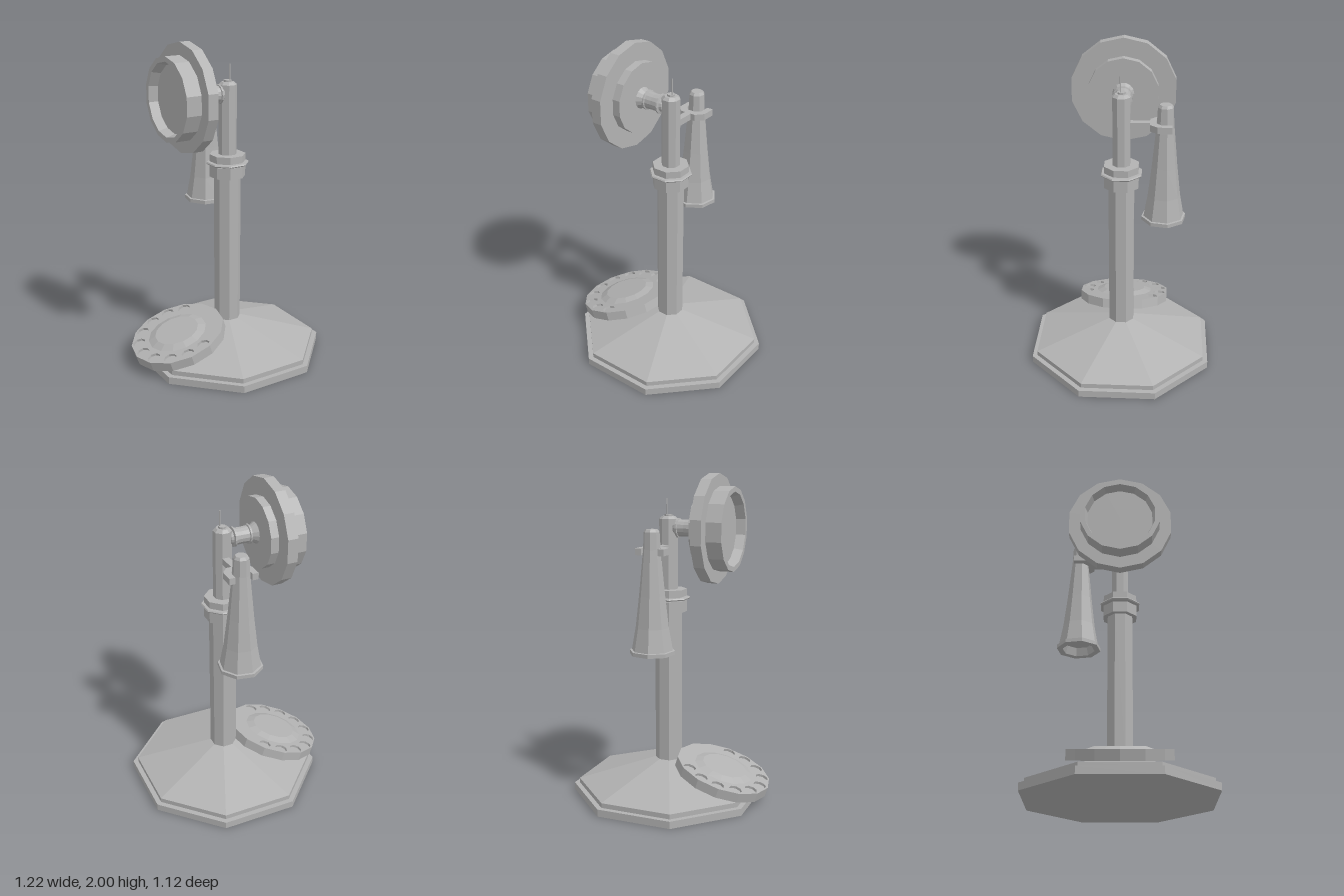
import * as THREE from 'three';

const AXIS_X = 0.043; // the post stands slightly off centre

export function createModel() {
  const metal = new THREE.MeshStandardMaterial({ color: 0xb2b2b2, flatShading: true });
  metal.name = 'grey metal';

  const model = new THREE.Group();
  model.name = 'candlestickTelephone';

  const add = (parent, name, geometry, x = 0, y = 0, z = 0) => {
    const mesh = new THREE.Mesh(geometry, metal);
    mesh.name = name;
    mesh.position.set(x, y, z);
    parent.add(mesh);
    return mesh;
  };
  const lathe = (points, sides, start = 0) =>
    new THREE.LatheGeometry(points.map(([r, y]) => new THREE.Vector2(r, y)), sides, start);
  // octagonal lathe with flat sides on the axes; radii are measured to the flats
  const octagon = (points) =>
    lathe(points.map(([a, y]) => [a / Math.cos(Math.PI / 8), y]), 8, Math.PI / 8);
  const ringPath = (path, sides, radius, cx = 0, cy = 0, turn = 0) => {
    const pts = [];
    for (let i = 0; i < sides; i++) {
      const a = turn + (i / sides) * Math.PI * 2;
      pts.push(new THREE.Vector2(cx + radius * Math.cos(a), cy + radius * Math.sin(a)));
    }
    return path.setFromPoints(pts.concat(pts[0].clone()));
  };

  // Stepped base with a sloping roof
  add(model, 'base', octagon([
    [0, 0], [0.56, 0], [0.56, 0.045], [0.53, 0.045], [0.53, 0.075], [0.075, 0.222], [0, 0.222],
  ]), AXIS_X);

  // Post, collar and upper post
  add(model, 'post', octagon([[0.077, 0.2], [0.077, 1.17]]), AXIS_X);
  add(model, 'collar', octagon([
    [0, 1.165], [0.103, 1.165], [0.103, 1.237], [0.09, 1.237], [0.09, 1.243], [0.117, 1.243],
    [0.122, 1.25], [0.117, 1.257], [0.09, 1.257], [0.09, 1.262], [0.103, 1.262], [0.103, 1.305], [0, 1.305],
  ]), AXIS_X);
  add(model, 'upperPost', octagon([
    [0.052, 1.3], [0.052, 1.73], [0.036, 1.746], [0.022, 1.746], [0.022, 1.757], [0, 1.757],
  ]), AXIS_X);
  add(model, 'pin', new THREE.CylinderGeometry(0.004, 0.004, 0.1, 6), AXIS_X + 0.012, 1.802, 0.005);

  // Mouthpiece and neck, turned about the x axis
  const mouth = new THREE.Group();
  mouth.name = 'mouthpiece';
  mouth.position.y = 1.677;
  model.add(mouth);
  add(mouth, 'mouthpieceDisc', lathe([
    [0, -0.32], [0.205, -0.32], [0.22, -0.375], [0.25, -0.375], [0.25, -0.28], [0.325, -0.28],
    [0.325, -0.215], [0.215, -0.215], [0.215, -0.165], [0, -0.165],
  ], 14, -Math.PI / 2).rotateZ(-Math.PI / 2));
  add(mouth, 'neck', lathe([
    [0.068, -0.168], [0.04, -0.125], [0.06, -0.125], [0.06, -0.115], [0.052, -0.112], [0.05, -0.07],
    [0.052, -0.03], [0.06, -0.028], [0.06, -0.018], [0.045, -0.014], [0.04, 0.0], [0.025, 0.012], [0, 0.015],
  ], 14).rotateZ(-Math.PI / 2));

  // Tilted dial with ten finger holes
  const dial = new THREE.Group();
  dial.name = 'dial';
  dial.position.set(-0.318, 0.165, 0);
  dial.rotation.z = 0.307;
  model.add(dial);
  add(dial, 'dialBody', new THREE.CylinderGeometry(0.3, 0.3, 0.045, 14).rotateY(Math.PI / 2), 0, -0.0075);
  const plate = ringPath(new THREE.Shape(), 14, 0.3);
  for (let k = -4; k <= 5; k++) {
    const a = 0.035 + (k / 14) * Math.PI * 2;
    plate.holes.push(ringPath(new THREE.Path(), 8, 0.04, -0.25 * Math.cos(a), 0.25 * Math.sin(a), Math.PI / 8 - a));
  }
  add(dial, 'fingerPlate', new THREE.ExtrudeGeometry(plate, { depth: 0.015, bevelEnabled: false })
    .rotateX(-Math.PI / 2), 0, 0.015);
  add(dial, 'dialCentre', new THREE.CylinderGeometry(0.14, 0.19, 0.018, 14).rotateY(Math.PI / 2), 0, 0.038);

  // Earpiece: hollow flared bell
  const earZ = -0.257;
  add(model, 'earpiece', lathe([
    [0, 1.0], [0.085, 1.0], [0.1, 0.95], [0.137, 0.95], [0.137, 0.973], [0.124, 0.975], [0.1, 1.11],
    [0.078, 1.3], [0.052, 1.57], [0.047, 1.67], [0.036, 1.686], [0, 1.686],
  ], 8, 0.2), AXIS_X, 0, earZ);

  // Hook: arm and open fork that carries the earpiece
  add(model, 'hookArm', new THREE.BoxGeometry(0.042, 0.04, 0.14), AXIS_X, 1.557, -0.115);
  const fork = new THREE.Shape([
    [-0.09, 0.04], [-0.09, -0.045], [-0.05, -0.09], [0.05, -0.09], [0.09, -0.045], [0.09, 0.04],
    [0.052, 0.04], [0.052, -0.024], [0.024, -0.052], [-0.024, -0.052], [-0.052, -0.024], [-0.052, 0.04],
  ].map(([x, y]) => new THREE.Vector2(x, y)));
  add(model, 'hookFork', new THREE.ExtrudeGeometry(fork, { depth: 0.04, bevelEnabled: false })
    .rotateX(-Math.PI / 2), AXIS_X, 1.537, earZ);

  return model;
}
